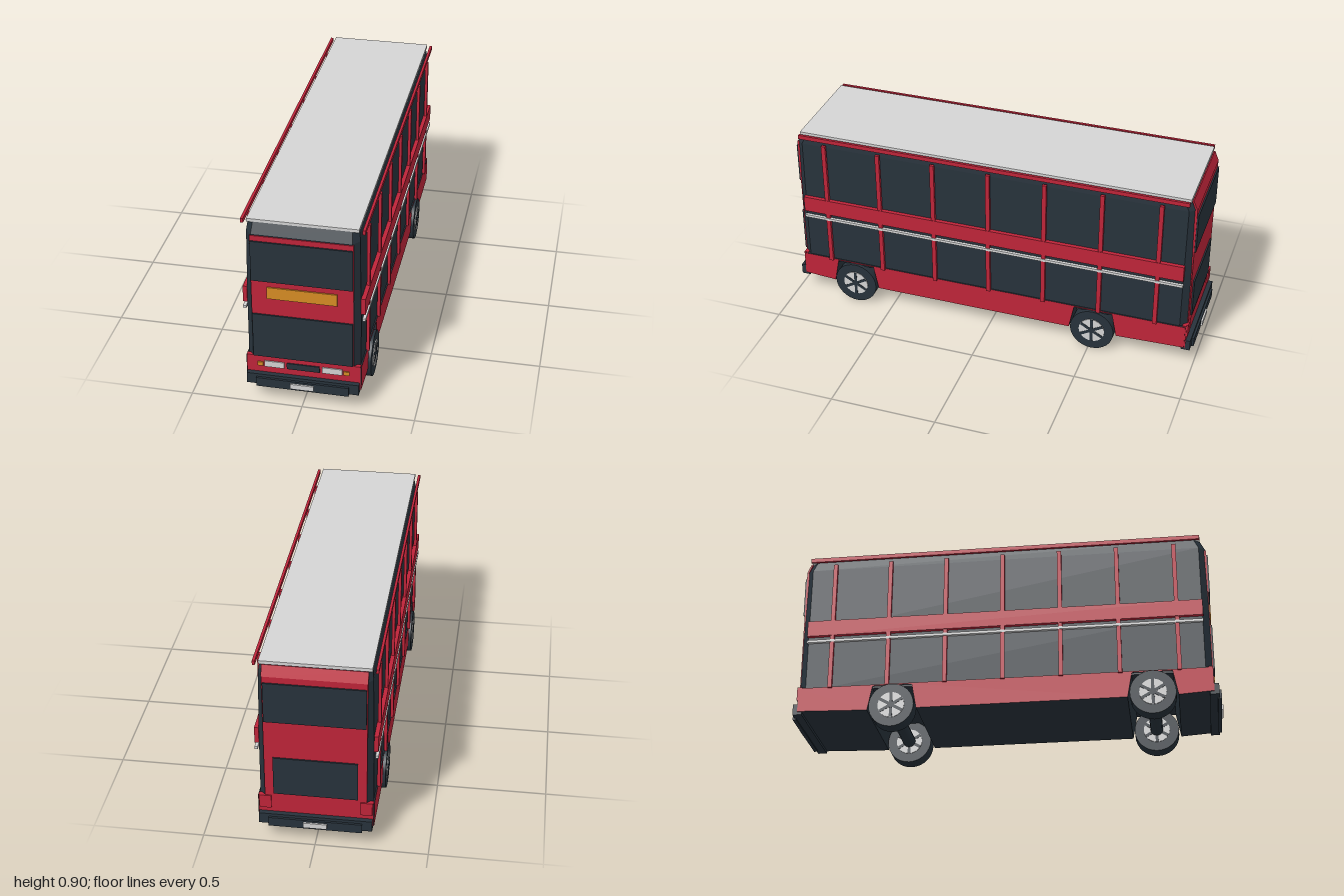
import * as THREE from 'three';

const mat = (name, color) => {
  const m = new THREE.MeshStandardMaterial({ color });
  m.name = name;
  return m;
};

export function createModel() {
  const bus = new THREE.Group();
  bus.name = 'doubleDeckBus';
  const red = mat('red paint', 0xbe2439);
  const dark = mat('dark glass and rubber', 0x27323b);
  const grey = mat('light grey', 0xd4d4d4);
  const amber = mat('amber', 0xd68c24);

  const add = (name, geo, material, parent = bus) => {
    const m = new THREE.Mesh(geo, material);
    m.name = name;
    parent.add(m);
    return m;
  };
  // Box given by its limits on each axis
  const box = (name, material, [x0, x1], [y0, y1], [z0, z1], parent = bus) => {
    const g = new THREE.BoxGeometry(x1 - x0, y1 - y0, z1 - z0);
    g.translate((x0 + x1) / 2, (y0 + y1) / 2, (z0 + z1) / 2);
    return add(name, g, material, parent);
  };

  // Glazed body: chamfered rectangles lofted upwards [y, half width, half length]
  const rings = [[0.2, 0.25, 0.957], [0.5, 0.249, 0.957], [0.84, 0.243, 0.957], [0.887, 0.238, 0.935]];
  const pos = [], idx = [];
  for (const [y, w, l] of rings) {
    const a = w - 0.026, b = l - 0.03;
    for (const [x, z] of [[w, -b], [w, b], [a, l], [-a, l], [-w, b], [-w, -b], [-a, -l], [a, -l]]) pos.push(x, y, z);
  }
  const last = (rings.length - 1) * 8;
  for (let i = 0; i < 8; i++) {
    const j = (i + 1) % 8;
    for (let r = 0; r < last; r += 8) idx.push(r + i, r + 8 + i, r + j, r + j, r + 8 + i, r + 8 + j);
    if (i > 0 && i < 7) idx.push(last, last + j, last + i, 0, i, j);
  }
  const indexed = new THREE.BufferGeometry();
  indexed.setAttribute('position', new THREE.Float32BufferAttribute(pos, 3));
  indexed.setIndex(idx);
  const bodyGeo = indexed.toNonIndexed();
  bodyGeo.computeVertexNormals();
  add('glazedBody', bodyGeo, dark);

  // Lower hull: side profile with wheel arches, red sides and dark underside
  const axles = [-0.515, 0.685];
  const profile = new THREE.Shape();
  profile.moveTo(-0.955, 0.1);
  for (const z of axles) {
    profile.lineTo(z - 0.115, 0.09);
    profile.lineTo(z - 0.092, 0.21);
    profile.lineTo(z + 0.092, 0.21);
    profile.lineTo(z + 0.115, 0.09);
  }
  profile.lineTo(0.955, 0.1);
  profile.lineTo(0.955, 0.216);
  profile.lineTo(-0.955, 0.216);
  const hull = new THREE.ExtrudeGeometry(profile, { depth: 0.512, bevelEnabled: false });
  hull.rotateY(-Math.PI / 2).translate(0.256, 0, 0);
  add('lowerHull', hull, [red, dark]);

  // Roof
  box('roofPanel', grey, [-0.24, 0.24], [0.885, 0.9], [-0.935, 0.935]);

  // Side trim, mirrored
  for (const s of [-1, 1]) {
    const side = new THREE.Group();
    side.name = s > 0 ? 'leftSideTrim' : 'rightSideTrim';
    bus.add(side);
    const strip = (name, m, x0, x1, ys, zs) =>
      box(name, m, s > 0 ? [x0, x1] : [-x1, -x0], ys, zs, side);
    strip('roofRail', red, 0.254, 0.266, [0.876, 0.896], [-0.933, 0.933]);
    strip('deckBand', red, 0.249, 0.268, [0.478, 0.556], [-0.93, 0.93]);
    strip('trimStrip', grey, 0.255, 0.269, [0.444, 0.457], [-0.93, 0.93]);
    for (let i = -3; i <= 3; i++) {
      strip('windowPillar', red, 0.252, 0.266, [0.21, 0.856], [i * 0.27 - 0.01, i * 0.27 + 0.01]);
    }
  }

  // Front end
  box('frontPanel', red, [-0.222, 0.222], [0.2, 0.835], [0.95, 0.961]);
  box('frontApron', red, [-0.253, 0.253], [0.1, 0.222], [0.94, 0.96]);
  box('upperWindscreen', dark, [-0.22, 0.22], [0.615, 0.81], [0.96, 0.968]);
  box('lowerWindscreen', dark, [-0.22, 0.22], [0.225, 0.445], [0.96, 0.968]);
  box('destinationPanel', amber, [-0.153, 0.153], [0.53, 0.587], [0.96, 0.967]);
  box('grille', dark, [-0.073, 0.073], [0.17, 0.2], [0.959, 0.966]);
  for (const s of [-1, 1]) {
    const cx = s * 0.129, ix = s * 0.192;
    box('headlight', grey, [cx - 0.044, cx + 0.044], [0.17, 0.2], [0.959, 0.966]);
    box('indicator', amber, [ix - 0.013, ix + 0.013], [0.172, 0.191], [0.959, 0.966]);
  }

  // Rear end
  box('rearPanel', red, [-0.224, 0.224], [0.2, 0.84], [-0.961, -0.95]);
  box('rearApron', red, [-0.253, 0.253], [0.1, 0.222], [-0.96, -0.94]);
  const cap = add('rearRoofSlope', new THREE.BoxGeometry(0.45, 0.052, 0.008), red);
  cap.position.set(0, 0.862, -0.948);
  cap.rotation.x = 0.4;
  box('upperRearWindow', dark, [-0.22, 0.22], [0.615, 0.81], [-0.968, -0.96]);
  box('lowerRearWindow', dark, [-0.185, 0.185], [0.24, 0.43], [-0.968, -0.96]);
  for (const s of [-1, 1]) {
    box('tailLamp', red, [s * 0.222 - 0.026, s * 0.222 + 0.026], [0.16, 0.225], [-0.967, -0.958]);
  }

  // Bumpers and blank plates at both ends
  for (const s of [-1, 1]) {
    const zs = (a, b) => (s > 0 ? [a, b] : [-b, -a]);
    box('bumper', dark, [-0.25, 0.25], [0.086, 0.138], zs(0.94, 0.982));
    box('bumperFace', dark, [-0.206, 0.206], [0.08, 0.124], zs(0.975, 0.992));
    box('blankPlate', grey, [-0.052, 0.052], [0.09, 0.115], zs(0.992, 1.0));
  }

  // Wheels and axles
  const disc = (r, h, n) => new THREE.CylinderGeometry(r, r, h, n).rotateZ(Math.PI / 2);
  for (const z of axles) {
    const axle = add('axle', disc(0.03, 0.42, 12), dark);
    axle.position.set(0, 0.105, z);
    for (const s of [-1, 1]) {
      const wheel = new THREE.Group();
      wheel.name = 'wheel';
      wheel.position.set(s * 0.231, 0.105, z);
      bus.add(wheel);
      add('tyre', disc(0.105, 0.074, 32), dark, wheel);
      add('rim', disc(0.062, 0.08, 24), grey, wheel);
      add('hub', disc(0.016, 0.084, 12), dark, wheel);
      for (let i = 0; i < 3; i++) {
        const spoke = add('spokePair', new THREE.BoxGeometry(0.083, 0.122, 0.014), dark, wheel);
        spoke.rotation.x = (i * Math.PI) / 3;
      }
    }
  }
  return bus;
}
